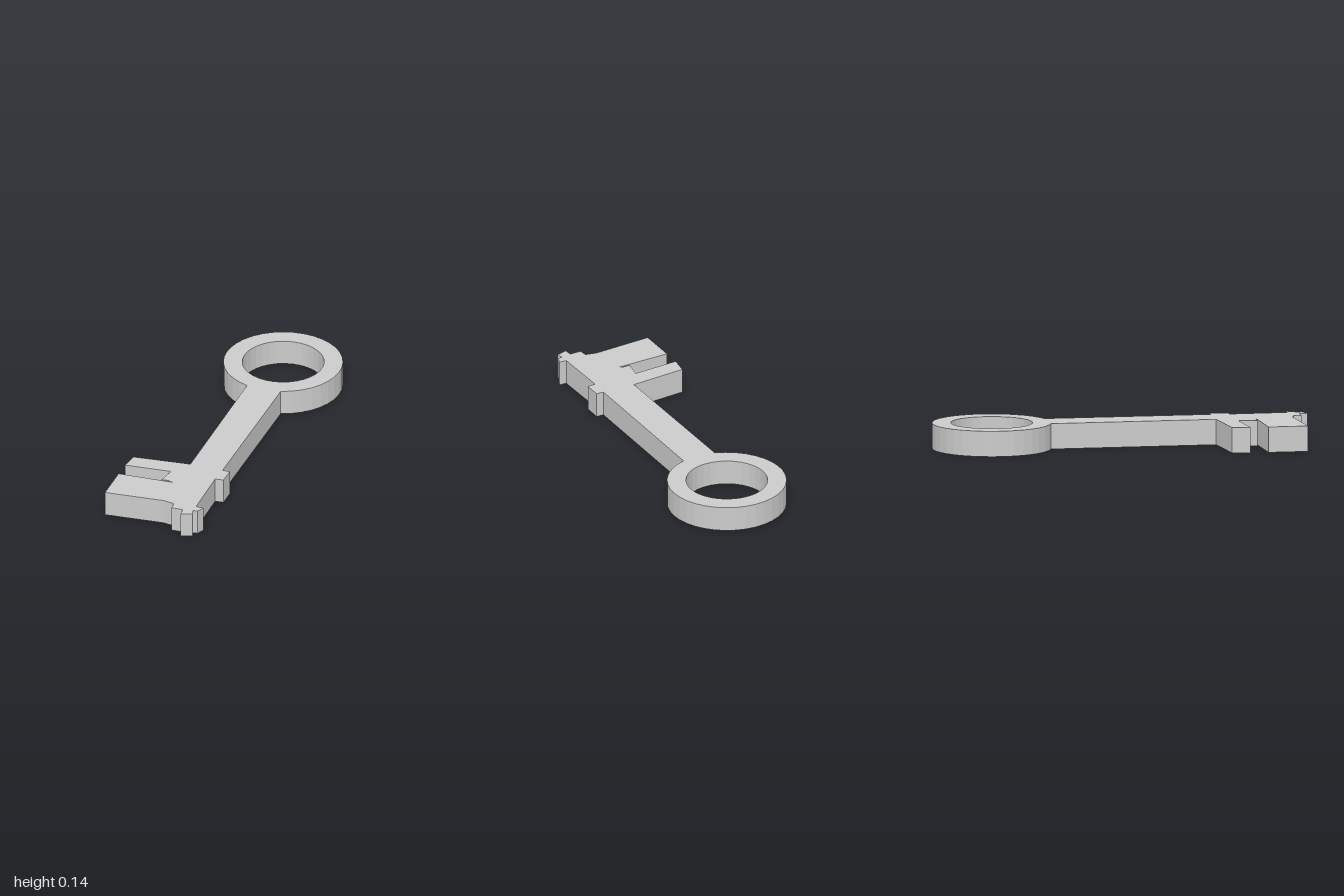
import * as THREE from 'three';

const HEIGHT = 0.135;
const BOW = { x: 0.125, z: -0.686, outer: 0.314, inner: 0.215 };

// Plan outlines as [x, z], running clockwise down the shaft and back up
const rightEdge = [
  [0.10, 0.50], [0.14, 0.505], [0.13, 0.60], [0.085, 0.60], [0.06, 0.905], // shaft with collar
];
const tip = [
  [0.10, 0.91], [0.08, 0.95], [0.055, 0.95], [0.062, 0.985], [0.0, 1.0],
  [0.0, 0.955], [-0.062, 0.95], [-0.062, 0.905], [-0.12, 0.887],
];
const bit = [
  [-0.44, 0.88], [-0.42, 0.67], [-0.17, 0.685], [-0.12, 0.69], [-0.15, 0.676], [-0.185, 0.675], // wide tooth
  [-0.16, 0.58], [-0.41, 0.575], [-0.387, 0.48], [-0.08, 0.48], // narrow tooth
];

export function createModel() {
  const group = new THREE.Group();
  group.name = 'key';

  // Bow: outer arc from the shaft's left side round to its right side
  const outline = new THREE.Shape();
  const left = Math.atan2(-0.40 - BOW.z, 0.005 - BOW.x);
  const right = Math.atan2(-0.38 - BOW.z, 0.19 - BOW.x);
  outline.absarc(BOW.x, BOW.z, BOW.outer, left, right + Math.PI * 2, false);

  // Shaft, tip and bit
  for (const [x, z] of [...rightEdge, ...tip, ...bit]) outline.lineTo(x, z);
  outline.closePath();

  // Finger hole in the bow
  const hole = new THREE.Path();
  hole.absarc(BOW.x, BOW.z, BOW.inner, 0, Math.PI * 2, true);
  outline.holes.push(hole);

  // Extrude and lay flat, so the plan's second axis becomes z
  const geometry = new THREE.ExtrudeGeometry(outline, {
    depth: HEIGHT, bevelEnabled: false, curveSegments: 16,
  });
  geometry.rotateX(Math.PI / 2).translate(0, HEIGHT, 0);

  const body = new THREE.Mesh(
    geometry,
    new THREE.MeshStandardMaterial({ color: 0xcccccc, flatShading: true }),
  );
  body.name = 'keyBody';
  group.add(body);
  return group;
}
